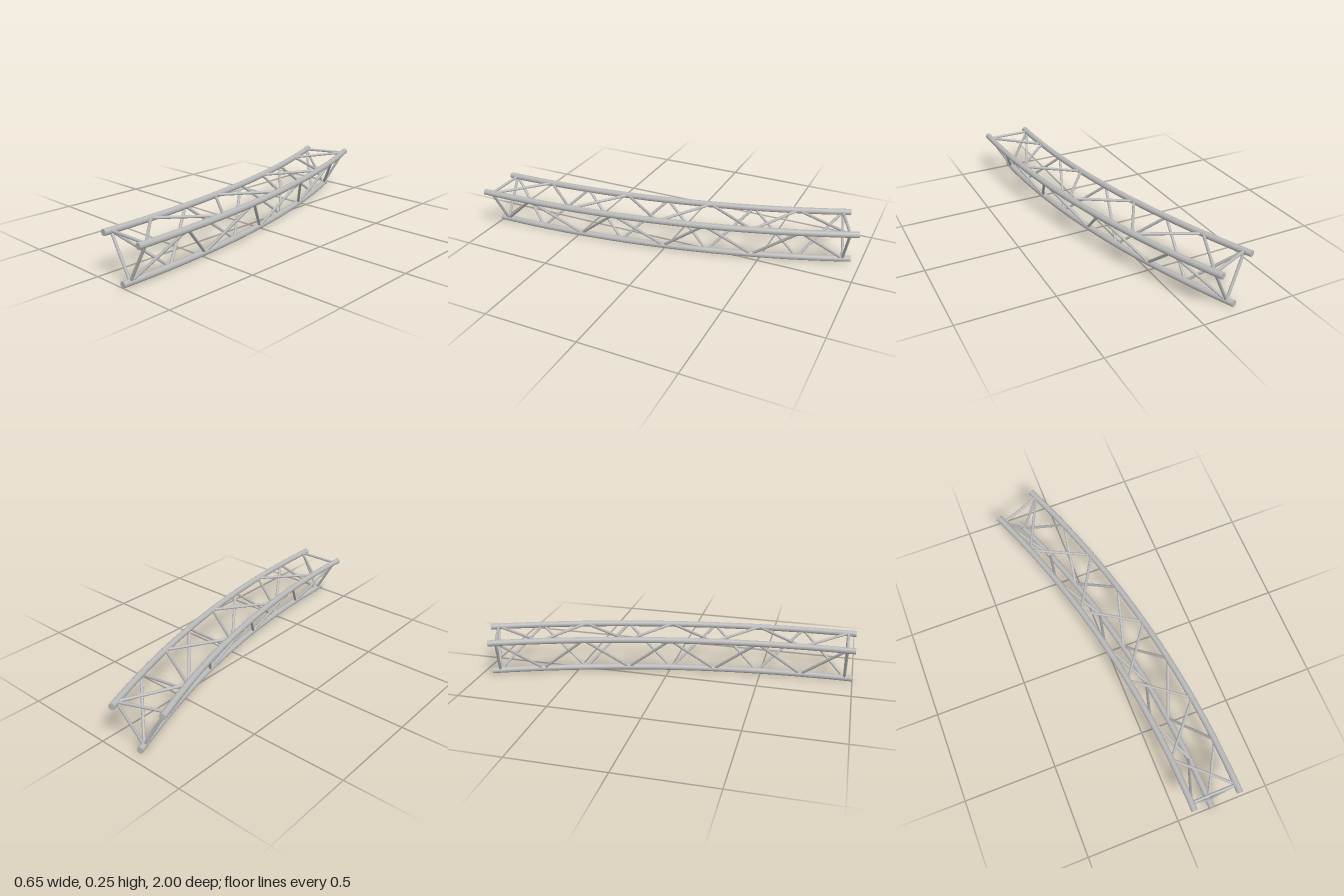
import * as THREE from 'three';

const SWEEP = Math.PI / 8;      // the truss covers 22.5 degrees of a circle
const MARGIN = 0.0083;          // angle from a chord end to its first joint
const PANELS = 8;
const CHORD_R = 0.0165, BRACE_R = 0.0075;
const CENTRE_X = -4.9;          // centre of the bend

const chords = {
  outer: { radius: 5.21, y: 0.23 },
  inner: { radius: 4.965, y: 0.23 },
  lower: { radius: 5.0875, y: CHORD_R },
};

// Point on a chord at an angle along the bend
function pointOn(chord, angle) {
  return new THREE.Vector3(
    CENTRE_X + chord.radius * Math.cos(angle), chord.y, 1 - chord.radius * Math.sin(angle));
}

export function createModel() {
  const model = new THREE.Group();
  model.name = 'curvedTruss';
  const metal = new THREE.MeshStandardMaterial({ color: 0xb8b8b8 });
  metal.name = 'grey metal';

  // Curved main tubes with flat end caps
  for (const [name, chord] of Object.entries(chords)) {
    const group = new THREE.Group();
    group.name = name + 'Chord';
    const tubeGeo = new THREE.TorusGeometry(chord.radius, CHORD_R, 24, 48, SWEEP).rotateX(-Math.PI / 2);
    const tube = new THREE.Mesh(tubeGeo, metal);
    tube.name = name + 'Tube';
    tube.position.set(CENTRE_X, chord.y, 1);
    group.add(tube);
    [[0, 0, 'Front'], [SWEEP, Math.PI + SWEEP, 'Back']].forEach(([angle, turn, end]) => {
      const cap = new THREE.Mesh(new THREE.CircleGeometry(CHORD_R, 24), metal);
      cap.name = name + end + 'Cap';
      cap.position.copy(pointOn(chord, angle));
      cap.rotation.y = turn;
      group.add(cap);
    });
    model.add(group);
  }

  const braces = new THREE.Group();
  braces.name = 'braces';
  model.add(braces);
  const up = new THREE.Vector3(0, 1, 0);
  const joint = (chord, i) => pointOn(chord, MARGIN + (SWEEP - 2 * MARGIN) * i / PANELS);

  // Thin round bar between two joints
  function brace(name, a, b) {
    const dir = b.clone().sub(a);
    const bar = new THREE.Mesh(
      new THREE.CylinderGeometry(BRACE_R, BRACE_R, dir.length(), 16, 1, true), metal);
    bar.name = name;
    bar.position.copy(a).add(b).multiplyScalar(0.5);
    bar.quaternion.setFromUnitVectors(up, dir.normalize());
    braces.add(bar);
  }

  // Each face: chord met at even joints, chord met at odd joints
  const faces = [
    ['top', chords.outer, chords.inner],
    ['outerSide', chords.lower, chords.outer],
    ['innerSide', chords.inner, chords.lower],
  ];
  for (const [name, even, odd] of faces) {
    // Zigzag lacing
    for (let i = 0; i < PANELS; i++) {
      const [from, to] = i % 2 ? [odd, even] : [even, odd];
      brace(name + 'Diagonal', joint(from, i), joint(to, i + 1));
    }
    // Triangular end frames
    for (const i of [0, PANELS]) brace(name + 'EndBar', joint(even, i), joint(odd, i));
  }
  return model;
}
